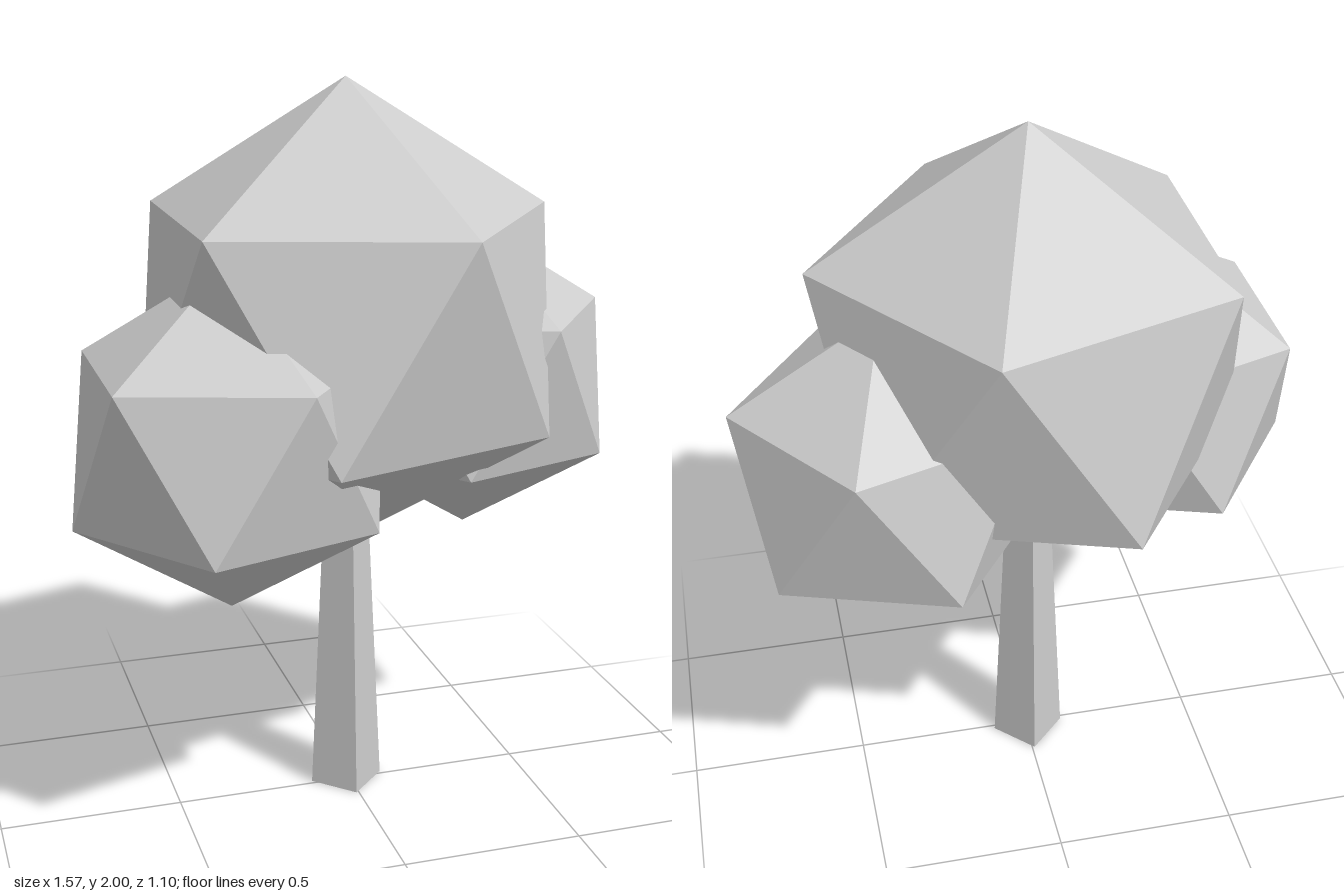
import * as THREE from 'three';

export function createModel() {
  const tree = new THREE.Group();
  tree.name = 'tree';
  const grey = new THREE.MeshStandardMaterial({ color: 0xcccccc });
  grey.name = 'light grey';

  // Trunk: tapered, four-sided, its top buried in the crown
  let trunkGeometry = new THREE.CylinderGeometry(0.063, 0.103, 0.86, 4).toNonIndexed();
  trunkGeometry.computeVertexNormals();
  const trunk = new THREE.Mesh(trunkGeometry, grey);
  trunk.name = 'trunk';
  trunk.position.set(-0.007, 0.43, -0.012);
  tree.add(trunk);

  // Foliage: faceted balls tipped so that one corner points straight up
  const tilt = -Math.atan(2 / (1 + Math.sqrt(5)));
  const addFoliage = (name, radius, x, y, z) => {
    const ball = new THREE.Mesh(new THREE.IcosahedronGeometry(radius, 0).rotateZ(tilt), grey);
    ball.name = name;
    ball.position.set(x, y, z);
    tree.add(ball);
  };
  addFoliage('crownFoliage', 0.632, -0.006, 1.368, -0.015);
  addFoliage('rightFoliage', 0.458, -0.375, 1.105, 0.16);
  addFoliage('leftFoliage', 0.442, 0.39, 1.148, -0.145);

  return tree;
}
